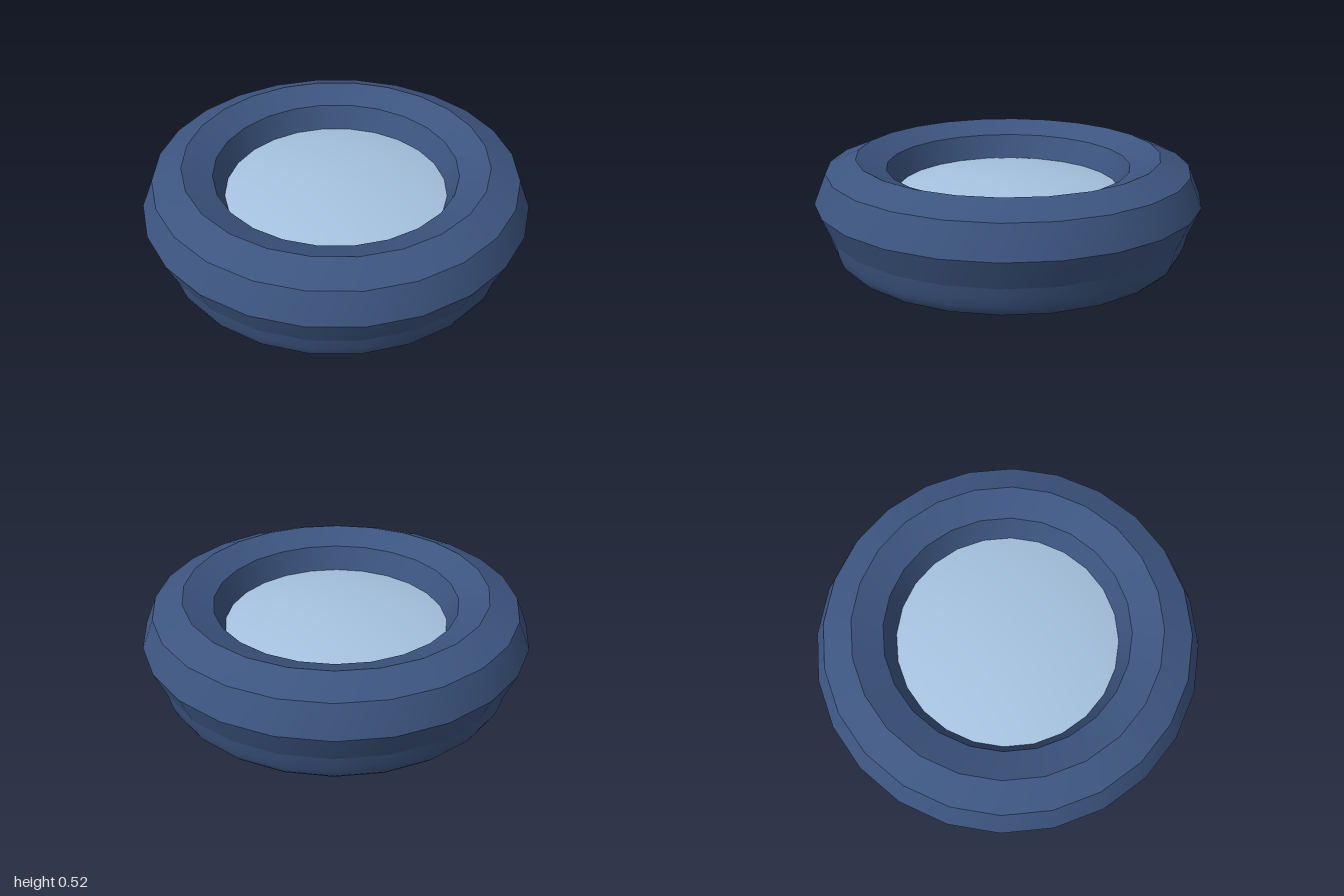
import * as THREE from 'three';
import { toCreasedNormals } from 'three/addons/utils/BufferGeometryUtils.js';

const SIDES = 24;

function material(name, color) {
  const m = new THREE.MeshStandardMaterial({ color });
  m.name = name;
  return m;
}

function addPart(group, name, geometry, mat) {
  const mesh = new THREE.Mesh(geometry, mat);
  mesh.name = name;
  group.add(mesh);
}

function lathe(points) {
  return new THREE.LatheGeometry(points.map(([r, y]) => new THREE.Vector2(r, y)), SIDES);
}

export function createModel() {
  const group = new THREE.Group();
  group.name = 'roundCushionDish';
  const navy = material('navy', 0x3c5580);
  const paleBlue = material('paleBlue', 0xa6c3e0);

  // Octagonal-section ring: hard edges along the bands, smooth around
  const torus = new THREE.TorusGeometry(0.785, 0.215, 8, SIDES);
  torus.rotateX(-Math.PI / 2);
  torus.translate(0, 0.31, 0);
  addPart(group, 'ring', toCreasedNormals(torus, 0.6), navy);

  // Tapered base with a softly rounded bottom edge
  addPart(group, 'base', lathe([
    [0, 0], [0.8, 0], [0.85, 0.003], [0.88, 0.014], [0.9, 0.035],
    [0.914, 0.065], [0.928, 0.11], [0.94, 0.165],
  ]), navy);

  // Shallow domed disc inside the ring
  const edgeRadius = 0.62, rise = 0.07, edgeY = 0.326, steps = 8;
  const sphere = (edgeRadius ** 2 + rise ** 2) / (2 * rise);
  const profile = [];
  for (let i = 0; i <= steps; i++) {
    const r = edgeRadius * (1 - i / steps);
    profile.push([r, edgeY + rise - sphere + Math.sqrt(sphere * sphere - r * r)]);
  }
  addPart(group, 'domedDisc', lathe(profile), paleBlue);

  return group;
}
